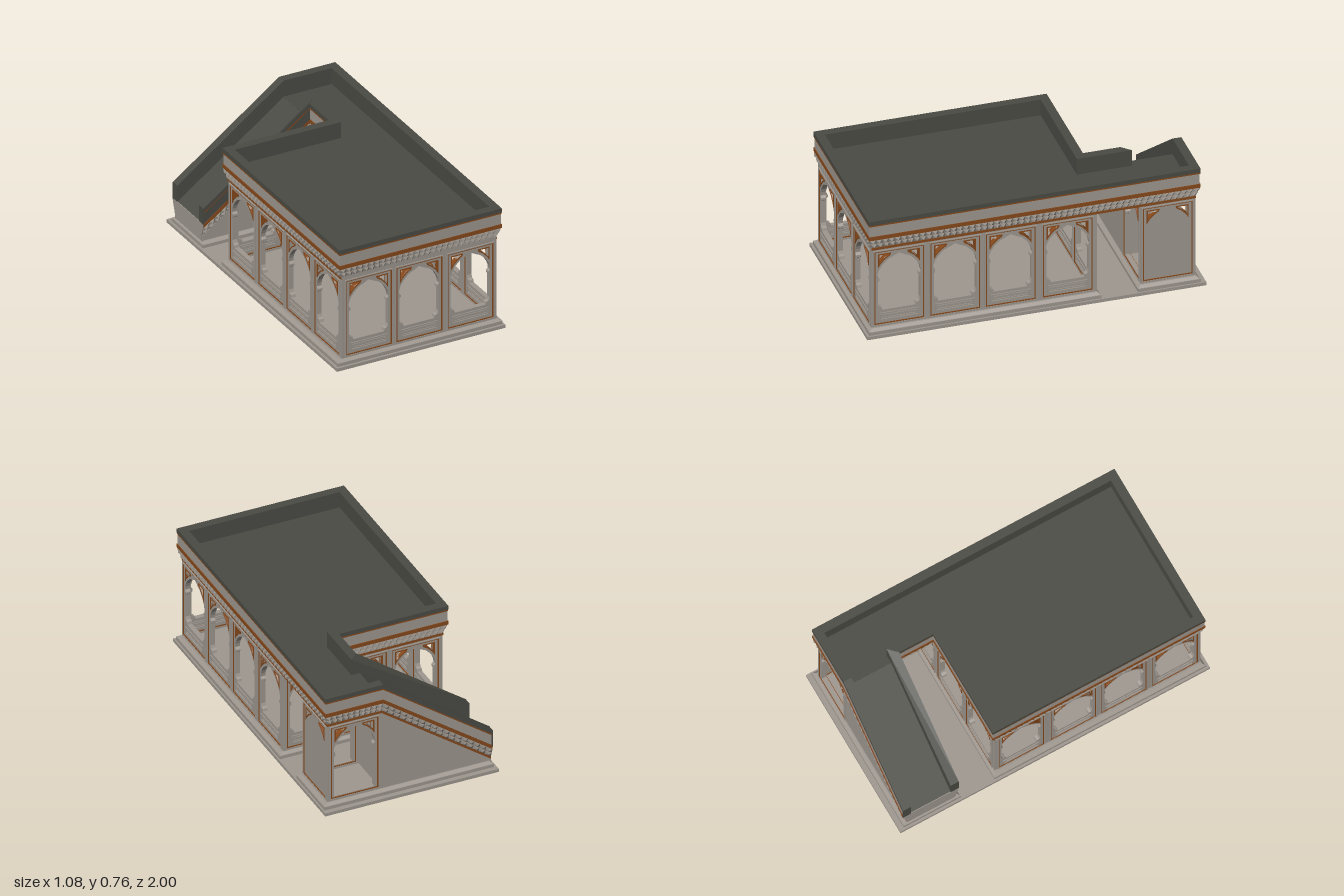
import * as THREE from 'three';

const mat = (name, color, side = THREE.FrontSide) => {
  const m = new THREE.MeshStandardMaterial({ color, side });
  m.name = name;
  return m;
};

// Roof edge path (x, z, drop); it starts and ends at the foot of the ramp.
const DROP = 0.495;
const PATH = [
  [-0.515, -0.61, DROP], [0.165, -0.61, 0], [0.165, -0.39, 0], [-0.515, -0.39, 0], [-0.515, 0.985, 0],
  [0.525, 0.985, 0], [0.525, -0.97, 0], [0.165, -0.97, 0], [-0.515, -0.97, DROP],
];
const NORMALS = PATH.slice(1).map(([x, z], i) => {
  const dx = x - PATH[i][0], dz = z - PATH[i][1], l = Math.hypot(dx, dz);
  return [-dz / l, dx / l];
});

// Point on the roof edge, pushed out by o with mitred corners
function edgePoint(i, [o, y]) {
  const a = NORMALS[Math.max(i - 1, 0)], b = NORMALS[Math.min(i, NORMALS.length - 1)];
  const k = o / (1 + a[0] * b[0] + a[1] * b[1]);
  const [x, z, d] = PATH[i];
  return new THREE.Vector3(x + (a[0] + b[0]) * k, y - d, z + (a[1] + b[1]) * k);
}

function fromTriangles(points) {
  const g = new THREE.BufferGeometry().setFromPoints(points);
  g.computeVertexNormals();
  return g;
}

// Sweeps a profile of (offset, y) points along some spans of the roof edge
function band(profile, from = 0, to = PATH.length - 1) {
  const pts = [];
  for (let i = from; i < to; i++) {
    for (let j = 0; j < profile.length - 1; j++) {
      const a = edgePoint(i, profile[j]), b = edgePoint(i + 1, profile[j]);
      const c = edgePoint(i + 1, profile[j + 1]), d = edgePoint(i, profile[j + 1]);
      pts.push(a, b, c, a, c, d);
    }
  }
  return fromTriangles(pts);
}

// Rows of small pyramids on the sloping cornice
function studs(rows) {
  const pts = [];
  for (let i = 0; i < PATH.length - 1; i++) {
    const [nx, nz] = NORMALS[i];
    const n = Math.round(Math.hypot(PATH[i + 1][0] - PATH[i][0], PATH[i + 1][1] - PATH[i][1]) / 0.037);
    for (let r = 0; r < rows.length - 1; r++) {
      const at = (row, t) => edgePoint(i, rows[row]).lerp(edgePoint(i + 1, rows[row]), t / n);
      for (let k = 0; k < n; k++) {
        const q = [at(r, k), at(r, k + 1), at(r + 1, k + 1), at(r + 1, k)];
        const apex = q[0].clone().add(q[2]).multiplyScalar(0.5).add(new THREE.Vector3(nx * 0.012, -0.005, nz * 0.012));
        q.forEach((p, e) => pts.push(p, q[(e + 1) % 4], apex));
      }
    }
  }
  return fromTriangles(pts);
}

const polygon = (pts, Type = THREE.Shape) => new Type(pts.map(([x, y]) => new THREE.Vector2(x, y)));
const rect = (cx, hw, y0, y1) => [[cx - hw, y0], [cx + hw, y0], [cx + hw, y1], [cx - hw, y1]];
const extrude = (shape, depth, z = 0) =>
  new THREE.ExtrudeGeometry(shape, { depth, bevelEnabled: false }).translate(0, 0, z);

// Half outlines of the cusped arch and the openings above it
const ARCH = [[0.125, 0.345], [0.117, 0.352], [0.117, 0.365], [0.129, 0.378], [0.126, 0.4], [0.117, 0.425],
  [0.097, 0.456], [0.065, 0.487], [0.03, 0.503], [0, 0.519]];
const SILL = [[0.098, 0.16], [0.102, 0.176], [0.118, 0.182], [0.125, 0.2]];
const SPANDREL = [[0.123, 0.44], [0.123, 0.527], [0.047, 0.527], [0.052, 0.512], [0.08, 0.494], [0.108, 0.465]];
const SPANDREL_HOLE = [[0.117, 0.464], [0.117, 0.521], [0.058, 0.521], [0.06, 0.516], [0.084, 0.5], [0.111, 0.471]];
const shifted = (pts, cx, s = 1) => pts.map(([x, y]) => [cx + s * x, y]);

export function createModel() {
  const stone = mat('stone', 0x9f9890);
  const roofing = mat('dark roofing', 0x4b4b45, THREE.DoubleSide);
  const rust = mat('rust trim', 0x87491b, THREE.DoubleSide);
  const model = new THREE.Group();
  model.name = 'arcadedPavilion';

  const add = (name, geo, material, parent = model) => {
    const m = new THREE.Mesh(geo, material);
    m.name = name;
    parent.add(m);
    return m;
  };
  const box = (name, x0, x1, y0, y1, z0, z1, material, taper = 0) => {
    const g = new THREE.BoxGeometry(x1 - x0, y1 - y0, z1 - z0);
    const p = g.attributes.position;
    for (let i = 0; i < p.count; i++) {
      if (p.getY(i) > 0) p.setXYZ(i, p.getX(i) - Math.sign(p.getX(i)) * taper, p.getY(i), p.getZ(i) - Math.sign(p.getZ(i)) * taper);
    }
    g.computeVertexNormals();
    add(name, g.translate((x0 + x1) / 2, (y0 + y1) / 2, (z0 + z1) / 2), material);
  };

  // Base slab and stepped plinths, with a passage between them
  box('baseSlab', -0.54, 0.54, 0, 0.02, -1, 1, stone);
  for (const [name, z0, z1] of [['hallPlinth', -0.385, 0.985], ['stairPlinth', -0.97, -0.6]]) {
    box(name, -0.525, 0.53, 0.02, 0.04, z0, z1, stone);
    box(name + 'Top', -0.52, 0.525, 0.04, 0.054, z0 + 0.005, z1 - 0.005, stone, 0.014);
  }

  // Arcade wall along local x, facing local +z
  const T = 0.03;
  function wall(name, x0, x1, centres, position, angle, door = false) {
    const g = new THREE.Group();
    g.name = name;
    g.position.set(...position);
    g.rotation.y = angle;
    model.add(g);
    const body = polygon([[x0, 0.05], [x1, 0.05], [x1, 0.58], [x0, 0.58]]);
    const ring = (label, outer, inner, material, raise) => {
      const s = polygon(outer);
      s.holes.push(polygon(inner, THREE.Path));
      add(label, extrude(s, T + 2 * raise, -T - raise), material, g);
    };
    for (const c of centres) {
      const half = [...(door ? [[0.125, 0.08]] : SILL), ...ARCH];
      const left = half.slice(0, -1).reverse().map(([x, y]) => [-x, y]);
      body.holes.push(polygon(shifted([...half, ...left], c), THREE.Path));
      for (const s of [1, -1]) {
        body.holes.push(polygon(shifted(SPANDREL_HOLE, c, s), THREE.Path));
        ring('spandrelTrim', shifted(SPANDREL, c, s), shifted(SPANDREL_HOLE, c, s), rust, 0.003);
      }
      ring('bayMoulding', rect(c, 0.153, 0.064, 0.552), rect(c, 0.147, 0.07, 0.546), stone, 0.007);
      ring('bayTrim', rect(c, 0.147, 0.07, 0.546), rect(c, 0.141, 0.076, 0.54), rust, 0.004);
      if (!door) {
        ring('panelFrame', rect(c, 0.117, 0.094, 0.142), rect(c, 0.11, 0.101, 0.135), stone, 0.006);
        ring('panelInset', rect(c, 0.104, 0.107, 0.129), rect(c, 0.1, 0.111, 0.125), stone, 0.004);
      }
    }
    add('wallBody', extrude(body, T, -T), stone, g);
  }

  const across = [-0.318, 0.005, 0.333];
  const along = [0.8, 0.47, 0.143, -0.193];
  const flip = (a) => a.map((v) => -v);
  const Q = Math.PI / 2;
  // Main hall
  wall('hallFrontWall', -0.49, 0.5, across, [0, 0, 0.965], 0);
  wall('hallBackWall', -0.5, 0.49, flip(across), [0, 0, -0.365], Math.PI);
  wall('hallLeftWall', -0.935, 0.335, flip(along), [0.5, 0, 0], Q);
  wall('hallRightWall', -0.335, 0.935, along, [-0.49, 0, 0], -Q);
  // Corner porch at the head of the ramp
  wall('porchFrontWall', 0.17, 0.5, [0.333], [0, 0, -0.625], 0, true);
  wall('porchBackWall', -0.5, -0.17, [-0.333], [0, 0, -0.945], Math.PI, true);
  wall('porchSideWall', 0.655, 0.915, [0.783], [0.5, 0, 0], Q, true);

  // Solid wall under the ramp, and the ramp floor
  add('rampWall', extrude(polygon([[-0.513, 0.04], [0.17, 0.04], [0.17, 0.58], [-0.513, 0.085]]), 0.32, -0.945), stone);
  add('rampFloor', extrude(polygon([[-0.513, 0.085], [0.167, 0.58], [0.167, 0.66], [-0.513, 0.165]]), 0.31, -0.945), roofing);

  // Roof slab
  const slab = polygon([[0.165, -0.64], [0.195, -0.64], [0.195, -0.36], [-0.485, -0.36], [-0.485, 0.955],
    [0.495, 0.955], [0.495, -0.94], [0.165, -0.94]]);
  add('roofSlab', extrude(slab, 0.08).rotateX(Q).translate(0, 0.66, 0), roofing);

  // Entablature and parapet following the roof edge down the ramp
  add('lowerTrim', band([[-0.045, 0.56], [-0.021, 0.56], [-0.021, 0.575], [-0.03, 0.575]]), rust);
  add('studdedCornice', studs([[-0.024, 0.575], [-0.013, 0.606], [-0.003, 0.637]]), stone);
  add('upperTrim', band([[-0.02, 0.637], [0, 0.637], [0, 0.661], [-0.02, 0.661]]), rust);
  const fascia = [[-0.004, 0.66], [-0.004, 0.727]];
  add('fascia', band(fascia, 1), stone);
  add('rampInnerFascia', band(fascia, 0, 1), roofing);
  add('fasciaTrim', band([[-0.004, 0.727], [-0.001, 0.727], [-0.001, 0.736]]), rust);
  add('parapet', band([[-0.004, 0.736], [0, 0.736], [0, 0.762], [-0.052, 0.762], [-0.052, 0.655]]), roofing);

  // End of the ramp
  const foot = polygon([[-0.18, 0.165], [-0.177, 0.142], [-0.155, 0.08], [-0.155, 0.05],
    [0.155, 0.05], [0.155, 0.08], [0.177, 0.142], [0.18, 0.165]]);
  add('rampFoot', extrude(foot, 0.006).rotateY(-Q).translate(-0.511, 0, -0.79), stone);
  for (const z of [-0.97, -0.662]) box('parapetEnd', -0.517, -0.511, 0.16, 0.267, z, z + 0.052, roofing);

  return model;
}
